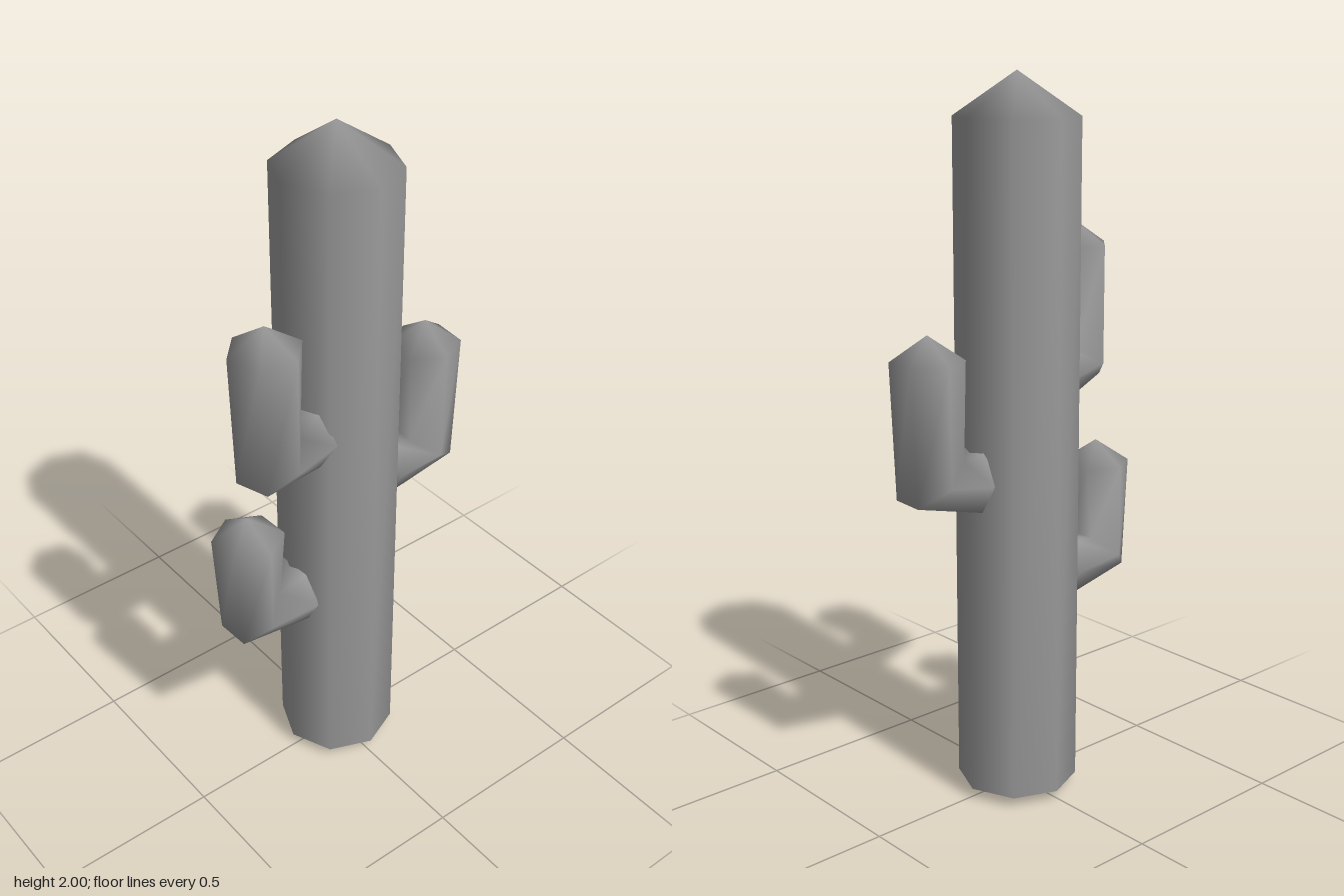
import * as THREE from 'three';

// Closed smooth tube: rings of {c: centre, u: half-width vector, w: depth} between two pointed caps.
function loft(start, rings, end, sides, turn) {
  const pos = [...start];
  const index = [];
  for (const { c, u, w } of rings) {
    for (let i = 0; i < sides; i++) {
      const a = ((i + turn) / sides) * Math.PI * 2;
      pos.push(c[0] + Math.cos(a) * u[0], c[1] + Math.cos(a) * u[1], Math.sin(a) * w);
    }
  }
  pos.push(...end);
  const last = pos.length / 3 - 1;
  const top = last - sides;
  for (let i = 0; i < sides; i++) {
    const j = (i + 1) % sides;
    index.push(0, 1 + j, 1 + i);
    for (let k = 0; k < rings.length - 1; k++) {
      const p = 1 + k * sides, q = p + sides;
      index.push(p + i, p + j, q + j, p + i, q + j, q + i);
    }
    index.push(top + i, top + j, last);
  }
  const g = new THREE.BufferGeometry();
  g.setAttribute('position', new THREE.Float32BufferAttribute(pos, 3));
  g.setIndex(index);
  g.computeVertexNormals();
  return g;
}

// Six-sided ring from its outer and inner edge, as [distance from trunk axis, height].
function armRing(outer, inner, w = 0.099) {
  const f = 0.5 / Math.cos(Math.PI / 6);
  return {
    c: [(outer[0] + inner[0]) / 2, (outer[1] + inner[1]) / 2],
    u: [(inner[0] - outer[0]) * f, (inner[1] - outer[1]) * f],
    w,
  };
}

export function createModel() {
  const model = new THREE.Group();
  model.name = 'cactus';
  const grey = new THREE.MeshStandardMaterial({ color: 0x999999 });
  grey.name = 'plain grey';

  const plant = new THREE.Group();
  plant.name = 'plant';
  plant.position.set(0.01, 0, -0.01);
  model.add(plant);

  // Eight-sided trunk with pointed ends
  const r = 0.168;
  const trunk = new THREE.Mesh(loft([0, 0, 0], [
    { c: [0, 0.03], u: [-r, 0], w: r },
    { c: [0, 1.885], u: [-r, 0], w: r },
  ], [0, 2, 0], 8, 0), grey);
  trunk.name = 'trunk';
  plant.add(trunk);

  // Bent arms: base, elbow and tip edges (outer, inner), tip point, and turn about the trunk
  const arms = [
    { name: 'leftArm', yaw: -0.075, base: [[0.154, 0.857], [0.143, 1.022]],
      elbow: [[0.36, 0.907], [0.212, 1.01]], tip: [[0.376, 1.28], [0.204, 1.28]], point: [0.29, 1.348] },
    { name: 'upperRightArm', yaw: Math.PI + 0.298, base: [[0.135, 1.087], [0.143, 1.26]],
      elbow: [[0.378, 1.14], [0.238, 1.235]], tip: [[0.393, 1.52], [0.22, 1.52]], point: [0.307, 1.587] },
    { name: 'lowerRightArm', yaw: Math.PI + 0.042, base: [[0.148, 0.54], [0.158, 0.71]],
      elbow: [[0.38, 0.583], [0.248, 0.693]], tip: [[0.399, 0.897], [0.227, 0.897]], point: [0.315, 0.963] },
  ];
  for (const { name, yaw, base, elbow, tip, point } of arms) {
    const rings = [base, elbow, tip].map(([outer, inner]) => armRing(outer, inner));
    const arm = new THREE.Mesh(
      loft([0.09, rings[0].c[1], 0], rings, [...point, 0], 6, 0.5), grey);
    arm.name = name;
    arm.rotation.y = yaw;
    plant.add(arm);
  }
  return model;
}
